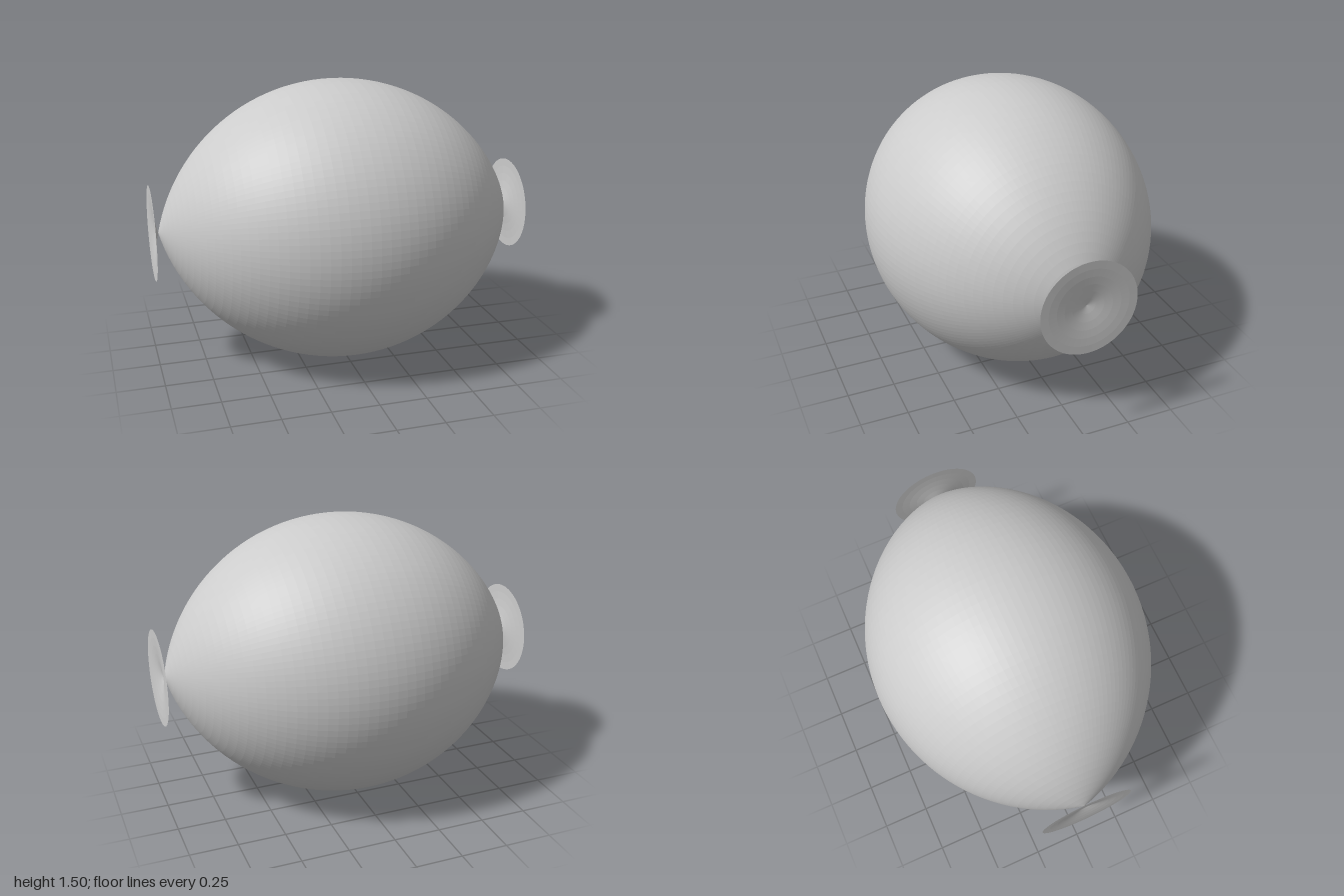
import * as THREE from 'three';

// Half of a spindle torus: an arc of radius 1 whose centre lies 0.25 past the axis,
// spun around x. Where the arc crosses the axis it opens into a small flared cup.
const ARC = 1, OFFSET = 0.25, SIDES = 128;
const TIP = Math.acos(OFFSET / ARC); // arc angle at which the surface meets the axis

function spunArc(name, from, to, steps, material) {
  const points = [];
  for (let i = 0; i <= steps; i++) {
    const a = from + (to - from) * i / steps;
    points.push(new THREE.Vector2(Math.abs(ARC * Math.cos(a) - OFFSET), ARC * Math.sin(a)));
  }
  const mesh = new THREE.Mesh(new THREE.LatheGeometry(points, SIDES), material);
  mesh.name = name;
  mesh.rotation.z = -Math.PI / 2; // lathe axis y -> x
  mesh.position.y = ARC - OFFSET;
  return mesh;
}

export function createModel() {
  const material = new THREE.MeshStandardMaterial({
    color: 0xcccccc, flatShading: true, side: THREE.DoubleSide,
  });
  const model = new THREE.Group();
  model.name = 'spindleTorusHalf';
  model.add(
    // lemon-shaped body between the two tips
    spunArc('body', -TIP, TIP, 54, material),
    // open shallow cups beyond each tip
    spunArc('leftCup', TIP, Math.PI / 2, 6, material),
    spunArc('rightCup', -Math.PI / 2, -TIP, 6, material),
  );
  return model;
}
